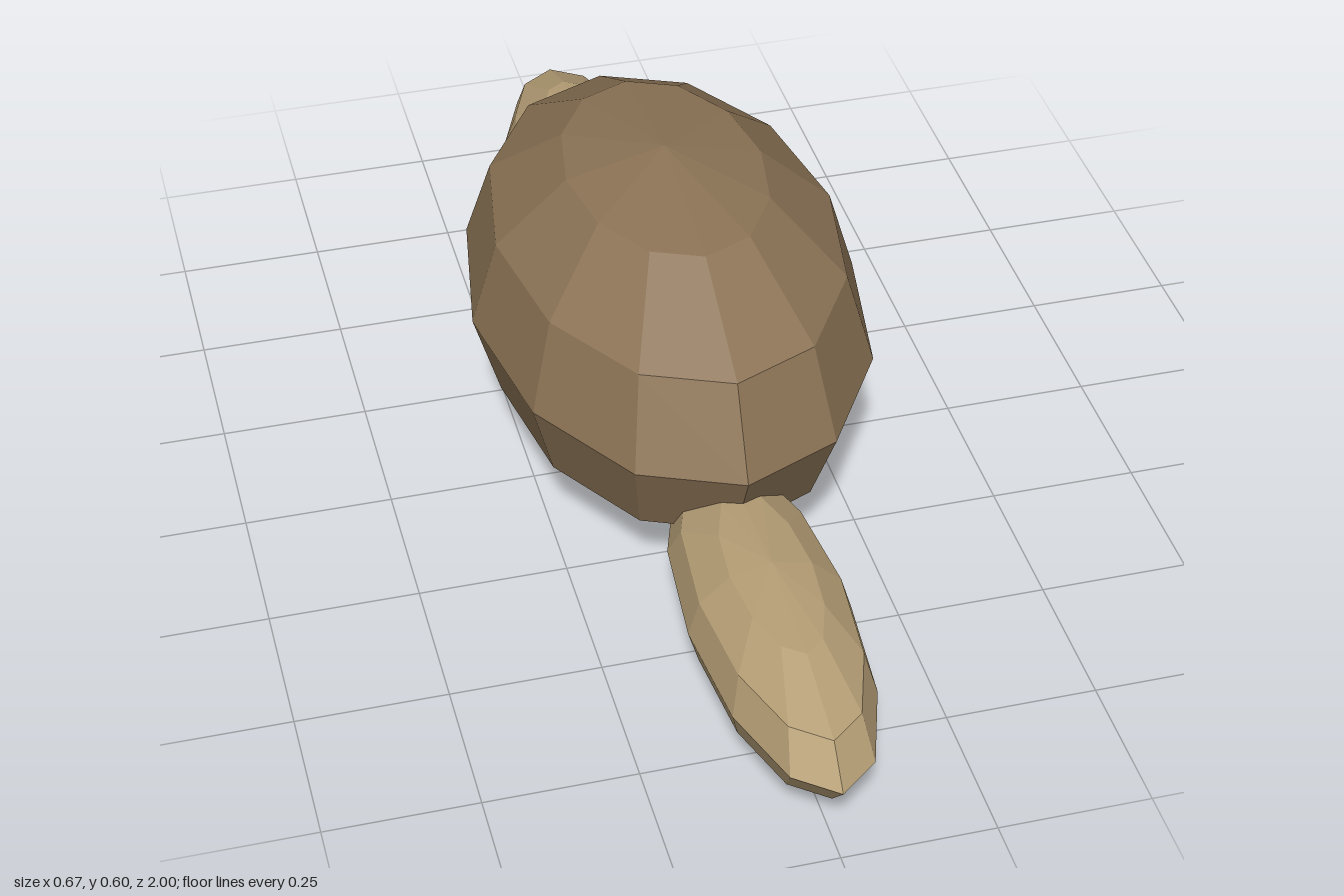
import * as THREE from 'three';

export function createModel() {
  const model = new THREE.Group();
  const brown = new THREE.MeshStandardMaterial({ name: 'brown', color: 0x8b7355, flatShading: true });
  const tan = new THREE.MeshStandardMaterial({ name: 'tan', color: 0xb59e75, flatShading: true });

  // Low-poly ellipsoid with 12 sides and 6 rings
  function ellipsoid(name, material, [rx, ry, rz], y, z) {
    const geometry = new THREE.SphereGeometry(1, 12, 6).scale(rx, ry, rz);
    const mesh = new THREE.Mesh(geometry, material);
    mesh.name = name;
    mesh.position.set(0, y, z);
    model.add(mesh);
  }

  // Large domed body
  ellipsoid('body', brown, [0.3333, 0.3, 0.5333], 0.3, -0.0667);
  // Long front lobe and shorter, taller rear lobe
  ellipsoid('frontLobe', tan, [0.1333, 0.12, 0.4], 0.1333, 0.6);
  ellipsoid('rearLobe', tan, [0.1333, 0.1333, 0.3333], 0.1333, -0.6667);

  return model;
}
